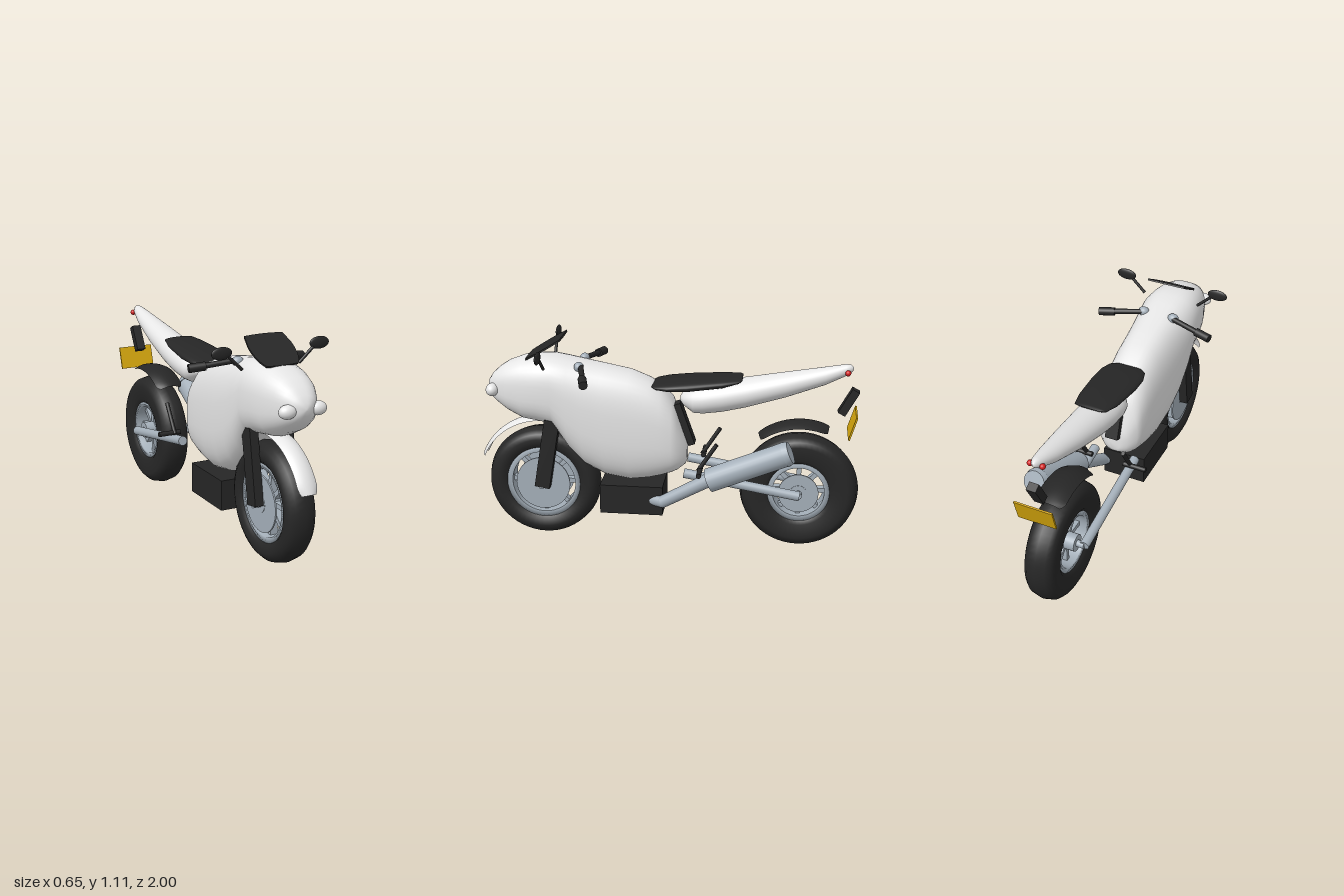
import * as THREE from 'three';

const mat = (name, color, side = THREE.FrontSide) => {
  const m = new THREE.MeshStandardMaterial({ color, side });
  m.name = name;
  return m;
};

// Closed smooth hull from stations [z, top, bottom, halfWidth] ordered back to front
function loft(stations, power = 2, n = 40) {
  const pos = [], idx = [];
  const se = (v) => Math.sign(v) * Math.pow(Math.abs(v), 2 / power);
  for (const [z, top, bottom, w] of stations) {
    for (let j = 0; j < n; j++) {
      const a = (j / n) * Math.PI * 2;
      pos.push(w * se(Math.cos(a)), (top + bottom) / 2 + ((top - bottom) / 2) * se(Math.sin(a)), z);
    }
  }
  const last = stations.length - 1;
  for (let i = 0; i < last; i++) {
    for (let j = 0; j < n; j++) {
      const a = i * n + j, b = i * n + ((j + 1) % n);
      idx.push(a, b, a + n, b, b + n, a + n);
    }
  }
  for (let j = 1; j < n - 1; j++) {
    idx.push(0, j + 1, j, last * n, last * n + j, last * n + j + 1);
  }
  const g = new THREE.BufferGeometry();
  g.setAttribute('position', new THREE.Float32BufferAttribute(pos, 3));
  g.setIndex(idx);
  g.computeVertexNormals();
  return g;
}

// Crowned strip bent around an axle; angles in degrees measured from +z towards +y
function guard(radius, halfWidth, a0, a1, crown) {
  const g = new THREE.PlaneGeometry(1, 1, 10, 24), p = g.attributes.position;
  for (let i = 0; i < p.count; i++) {
    const u = p.getX(i) * 2, t = p.getY(i) + 0.5;
    const a = THREE.MathUtils.degToRad(a0 + (a1 - a0) * t), r = radius - crown * u * u;
    const end = Math.min(1, 0.75 + t * 4, 0.75 + (1 - t) * 4);
    p.setXYZ(i, u * halfWidth * end, r * Math.sin(a), r * Math.cos(a));
  }
  g.computeVertexNormals();
  return g;
}

export function createModel() {
  const model = new THREE.Group();
  model.name = 'motorcycle';
  const white = mat('white paint', 0xe6e6e6);
  const whiteThin = mat('white guard paint', 0xe6e6e6, THREE.DoubleSide);
  const black = mat('black', 0x262626, THREE.DoubleSide);
  const metal = mat('metal', 0xa4afb9);
  const yellow = mat('yellow', 0xd9a90c);
  const red = mat('red', 0xd22020);

  const add = (name, geo, m, x = 0, y = 0, z = 0, parent = model) => {
    const mesh = new THREE.Mesh(geo, m);
    mesh.name = name;
    mesh.position.set(x, y, z);
    parent.add(mesh);
    return mesh;
  };
  const V = (p) => new THREE.Vector3(...p);
  const rod = (name, a, b, r, m, r2 = r) => {
    const d = V(b).sub(V(a));
    const mesh = add(name, new THREE.CylinderGeometry(r2, r, d.length(), 24), m);
    mesh.position.copy(V(a).addScaledVector(d, 0.5));
    mesh.quaternion.setFromUnitVectors(new THREE.Vector3(0, 1, 0), d.normalize());
    return mesh;
  };
  const ball = (name, m, x, y, z, sx, sy, sz) =>
    add(name, new THREE.SphereGeometry(1, 28, 18), m, x, y, z).scale.set(sx, sy, sz);

  // Fairing and tank
  add('fairing', loft([
    [-0.098, 0.54, 0.45, 0.03], [-0.088, 0.59, 0.43, 0.07], [-0.05, 0.70, 0.40, 0.11], [-0.02, 0.79, 0.385, 0.125],
    [0.04, 0.85, 0.365, 0.135], [0.10, 0.89, 0.35, 0.142], [0.20, 0.93, 0.337, 0.15], [0.33, 0.955, 0.36, 0.157],
    [0.44, 0.975, 0.42, 0.161], [0.52, 0.99, 0.51, 0.163], [0.60, 1.002, 0.635, 0.162], [0.68, 1.0, 0.648, 0.155],
    [0.76, 0.988, 0.66, 0.142], [0.84, 0.958, 0.70, 0.119], [0.89, 0.925, 0.735, 0.093], [0.925, 0.892, 0.765, 0.065],
    [0.945, 0.86, 0.80, 0.03], [0.95, 0.835, 0.825, 0.005]], 2.6), white);

  // Tail and seat
  add('tail', loft([
    [-0.937, 0.985, 0.965, 0.006], [-0.925, 0.996, 0.952, 0.018], [-0.90, 0.998, 0.937, 0.03], [-0.80, 0.98, 0.888, 0.05],
    [-0.60, 0.945, 0.815, 0.075], [-0.40, 0.91, 0.755, 0.093], [-0.28, 0.89, 0.727, 0.10], [-0.18, 0.872, 0.713, 0.098],
    [-0.13, 0.86, 0.715, 0.09], [-0.08, 0.832, 0.752, 0.06], [-0.06, 0.80, 0.775, 0.02]]), white);
  add('seat', loft([
    [-0.38, 0.913, 0.907, 0.06], [-0.365, 0.918, 0.893, 0.085], [-0.28, 0.919, 0.865, 0.105], [-0.10, 0.906, 0.84, 0.12],
    [0, 0.893, 0.838, 0.118], [0.06, 0.88, 0.846, 0.10], [0.08, 0.872, 0.855, 0.075], [0.09, 0.865, 0.86, 0.04]], 2.2), black);

  // Windscreen plate
  const ws = new THREE.Shape();
  ws.moveTo(-0.085, -0.108);
  ws.quadraticCurveTo(0, -0.116, 0.085, -0.108);
  ws.quadraticCurveTo(0.12, -0.06, 0.117, 0.03);
  ws.lineTo(0.104, 0.105);
  ws.quadraticCurveTo(0, 0.116, -0.104, 0.105);
  ws.lineTo(-0.117, 0.03);
  ws.quadraticCurveTo(-0.12, -0.06, -0.085, -0.108);
  add('windscreen', new THREE.ExtrudeGeometry(ws, { depth: 0.009, bevelEnabled: false }), black, 0, 1.043, 0.637)
    .rotation.x = -1.03;

  // Wheels: tyre, rim, spokes, hub and brake discs
  const wheel = (name, y, z, R, inner, w, discR, discSides) => {
    const g = new THREE.Group();
    g.name = name;
    g.position.set(0, y, z);
    model.add(g);
    const lathe = (pts) => new THREE.LatheGeometry(pts.map(([r, x]) => new THREE.Vector2(r, x)), 56).rotateZ(Math.PI / 2);
    const half = [[inner, 0.72 * w], [inner + 0.02, 0.92 * w], [R - 0.055, w], [R - 0.03, 0.85 * w], [R - 0.011, 0.6 * w]];
    const flip = half.map(([r, x]) => [r, -x]);
    add('tyre', lathe([...flip, [R, 0], ...half.slice().reverse(), half[0], flip[0]]), black, 0, 0, 0, g);
    const b = 0.055, ri = inner - 0.025;
    add('rim', lathe([[ri, -b], [inner + 0.003, -b - 0.004], [inner + 0.003, b + 0.004], [ri, b], [ri, -b]]), metal, 0, 0, 0, g);
    add('hub', new THREE.CylinderGeometry(0.045, 0.045, 0.15, 24).rotateZ(Math.PI / 2), metal, 0, 0, 0, g);
    add('axle', new THREE.CylinderGeometry(0.018, 0.018, 0.23, 20).rotateZ(Math.PI / 2), metal, 0, 0, 0, g);
    for (let i = 0; i < 8; i++) {
      const s = new THREE.BoxGeometry(0.04, ri, 0.024).translate(0, ri / 2 + 0.01, 0);
      add('spoke', s.rotateX((i / 8) * Math.PI * 2), metal, 0, 0, 0, g);
    }
    for (const s of discSides) {
      add('brakeDisc', new THREE.CylinderGeometry(discR, discR, 0.008, 40).rotateZ(Math.PI / 2), metal, s * 0.069, 0, 0, g);
    }
  };
  wheel('frontWheel', 0.305, 0.667, 0.302, 0.195, 0.079, 0.145, [-1, 1]);
  wheel('rearWheel', 0.31, -0.685, 0.31, 0.16, 0.08, 0.105, [1]);

  // Mudguards
  add('frontMudguard', guard(0.362, 0.053, 22, 105, 0.018), whiteThin, 0, 0.305, 0.667);
  add('rearMudguard', guard(0.36, 0.08, 52, 113, 0.022), black, 0, 0.33, -0.69);

  // Engine block and rear strut
  add('engine', new THREE.BoxGeometry(0.236, 0.158, 0.332), black, 0, 0.248, 0.188);
  add('rearStrut', new THREE.BoxGeometry(0.07, 0.235, 0.035), black, 0, 0.652, -0.083).rotation.x = 0.34;

  // Exhaust on the left side
  rod('exhaustHeader', [0.04, 0.245, 0.17], [0.12, 0.25, 0.02], 0.032, metal);
  ball('exhaustBend', metal, 0.12, 0.25, 0.02, 0.033, 0.033, 0.033);
  rod('exhaustPipe', [0.12, 0.25, 0.02], [0.15, 0.40, -0.23], 0.033, metal, 0.036);
  rod('silencer', [0.15, 0.395, -0.225], [0.178, 0.565, -0.61], 0.063, metal);
  rod('silencerCap', [0.178, 0.565, -0.61], [0.18, 0.577, -0.638], 0.066, metal, 0.058);

  // Number plate and its bracket
  add('plateBracket', new THREE.BoxGeometry(0.05, 0.145, 0.042), black, 0, 0.80, -0.922).rotation.x = -0.5;
  add('numberPlate', new THREE.BoxGeometry(0.2, 0.125, 0.009), yellow, 0, 0.685, -0.947).rotation.x = -0.29;

  // Paired parts
  for (const s of [-1, 1]) {
    add('fork', new THREE.BoxGeometry(0.046, 0.38, 0.08), black, s * 0.097, 0.485, 0.632).rotation.x = -0.17;
    rod('swingarm', [s * 0.115, 0.415, -0.09], [s * 0.115, 0.312, -0.69], 0.025, metal);
    ball('headlight', white, s * 0.081, 0.823, 0.915, 0.044, 0.034, 0.034);
    ball('mirror', black, s * 0.264, 1.053, 0.628, 0.054, 0.031, 0.012);
    rod('mirrorStem', [s * 0.155, 0.965, 0.625], [s * 0.23, 1.035, 0.628], 0.008, black);
    ball('handlebarMount', metal, s * 0.085, 0.962, 0.455, 0.03, 0.025, 0.025);
    rod('handlebar', [s * 0.085, 0.965, 0.445], [s * 0.27, 0.942, 0.401], 0.014, black);
    rod('grip', [s * 0.235, 0.945, 0.41], [s * 0.317, 0.937, 0.39], 0.022, black);
    rod('footpeg', [s * 0.09, 0.44, -0.175], [s * 0.215, 0.44, -0.175], 0.013, black);
    rod('footpegStay', [s * 0.125, 0.435, -0.165], [s * 0.125, 0.583, -0.26], 0.011, black);
    ball('tailLight', red, s * 0.032, 0.96, -0.91, 0.015, 0.015, 0.015);
  }
  return model;
}
